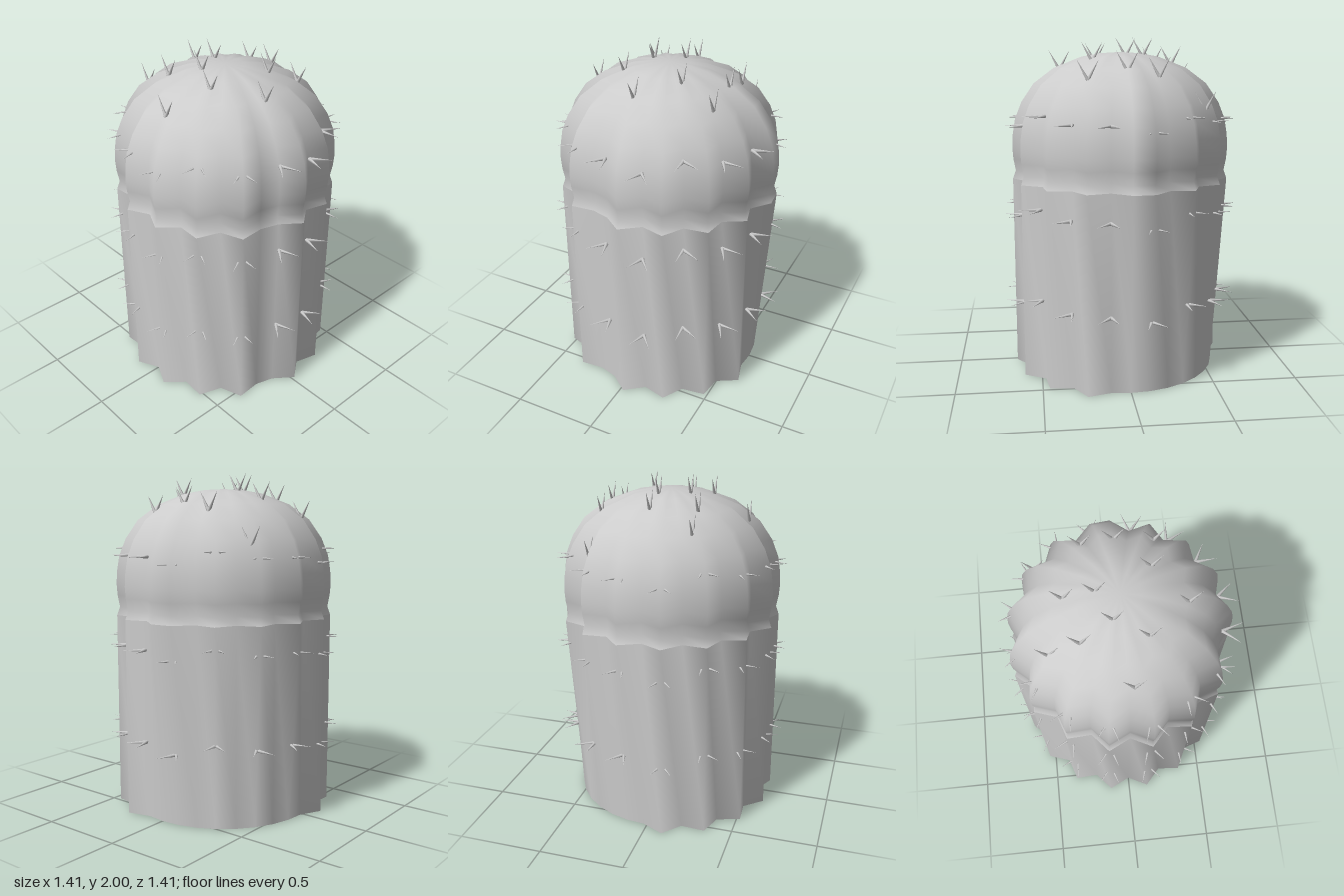
import * as THREE from 'three';
import { mergeVertices } from 'three/addons/utils/BufferGeometryUtils.js';

const STEPS = 32;
const TIP = 0.65, VALLEY = 0.575;
const CENTER_Z = -0.02;
const material = new THREE.MeshStandardMaterial({ color: 0xcccccc, side: THREE.DoubleSide });

// Rib crest or groove for each of the 32 columns (0 = front, counting towards +x).
// One quarter is shifted by a step, leaving a wide groove and a wide crest.
function isCrest(k) {
  if (k === 7) return false;
  return k >= 8 && k <= 16 ? k % 2 === 0 : k % 2 === 1;
}

// Scale of the profile radius at a column; the foot is round in one quarter.
function ribScale(k, y) {
  const flatFoot = y < 0.001 && k >= 16 && k <= 23;
  return isCrest(k) && !flatFoot ? 1 : VALLEY / TIP;
}

// A lathe whose columns are pushed in and out to make the ribs
function ribbedLathe(name, profile) {
  const pts = profile.map(([r, y]) => new THREE.Vector2(r, y));
  const lathe = new THREE.LatheGeometry(pts, STEPS);
  const pos = lathe.attributes.position;
  for (let i = 0; i < pos.count; i++) {
    const k = Math.floor(i / pts.length) % STEPS;
    const s = ribScale(k, pos.getY(i));
    pos.setX(i, pos.getX(i) * s);
    pos.setZ(i, pos.getZ(i) * s);
  }
  lathe.deleteAttribute('uv');
  lathe.deleteAttribute('normal');
  const geo = mergeVertices(lathe, 1e-5);
  geo.computeVertexNormals();
  const mesh = new THREE.Mesh(geo, material);
  mesh.name = name;
  mesh.position.z = CENTER_Z;
  return mesh;
}

const DOME = [[0.65, 1.16], [0.632, 1.21], [0.645, 1.28], [0.65, 1.35], [0.645, 1.43], [0.63, 1.52],
  [0.59, 1.62], [0.515, 1.73], [0.395, 1.82], [0.23, 1.885], [0.12, 1.905], [0, 1.912]];

// Radius of the dome at a height, and height at a radius
function domeRadius(y) {
  if (y < 1.35) return TIP;
  for (let i = 4; i < DOME.length; i++) {
    const [r0, y0] = DOME[i - 1], [r1, y1] = DOME[i];
    if (y <= y1) return r0 + (r1 - r0) * (y - y0) / (y1 - y0);
  }
  return 0;
}
function domeHeight(r) {
  for (let i = 4; i < DOME.length; i++) {
    const [r0, y0] = DOME[i - 1], [r1, y1] = DOME[i];
    if (r >= r1) return y0 + (y1 - y0) * (r0 - r) / (r0 - r1);
  }
  return DOME[DOME.length - 1][1];
}

// Two thin cones spreading from one point, in the plane of "out" and "side"
const spineGeometry = new THREE.ConeGeometry(0.011, 0.13, 6).translate(0, 0.065, 0);
function spinePair(base, out, side) {
  const pair = new THREE.Group();
  pair.name = 'spinePair';
  for (const s of [-1, 1]) {
    const dir = out.clone().addScaledVector(side, s * 0.55).normalize();
    const spine = new THREE.Mesh(spineGeometry, material);
    spine.name = 'spine';
    spine.position.copy(base);
    spine.quaternion.setFromUnitVectors(new THREE.Vector3(0, 1, 0), dir);
    pair.add(spine);
  }
  return pair;
}

export function createModel() {
  const cactus = new THREE.Group();
  cactus.name = 'cactus';

  // Ribbed trunk, rounded top and flat underside
  cactus.add(ribbedLathe('trunk', [[TIP, 0], [TIP, 1.16]]));
  cactus.add(ribbedLathe('dome', DOME));
  cactus.add(ribbedLathe('underside', [[0, 0], [TIP, 0]]));

  // Three rows of spines around the sides, one pair per rib
  const sideSpines = new THREE.Group();
  sideSpines.name = 'sideSpines';
  const offsets = [0, 0, 0.035, -0.035];
  for (const rowY of [0.455, 0.995, 1.525]) {
    for (let i = 0; i < 16; i++) {
      const a = (i * 2 - 1) * Math.PI / 16;
      const y = rowY + offsets[(i * 3) % 4];
      const r = domeRadius(y) - 0.06;
      const out = new THREE.Vector3(Math.sin(a), 0, Math.cos(a));
      const side = new THREE.Vector3(Math.cos(a), 0, -Math.sin(a));
      const base = out.clone().multiplyScalar(r).setY(y);
      base.z += CENTER_Z;
      sideSpines.add(spinePair(base, out, side));
    }
  }
  cactus.add(sideSpines);

  // Upright spines scattered over the crown, given as x, z
  const crownSpines = new THREE.Group();
  crownSpines.name = 'crownSpines';
  const spots = [[-0.45, -0.36], [-0.18, -0.385], [0, -0.385], [0.22, -0.385], [0.18, -0.18],
    [-0.3, -0.055], [-0.13, -0.055], [-0.05, 0.11], [-0.4, 0.215], [-0.23, 0.2],
    [0.13, 0.205], [0.03, 0.435], [0.36, 0.02]];
  for (const [x, z] of spots) {
    const y = Math.min(domeHeight(Math.hypot(x, z - CENTER_Z) * 1.06) - 0.015, 1.885);
    crownSpines.add(spinePair(new THREE.Vector3(x, y, z),
      new THREE.Vector3(0, 1, 0), new THREE.Vector3(1, 0, 0)));
  }
  cactus.add(crownSpines);
  return cactus;
}
